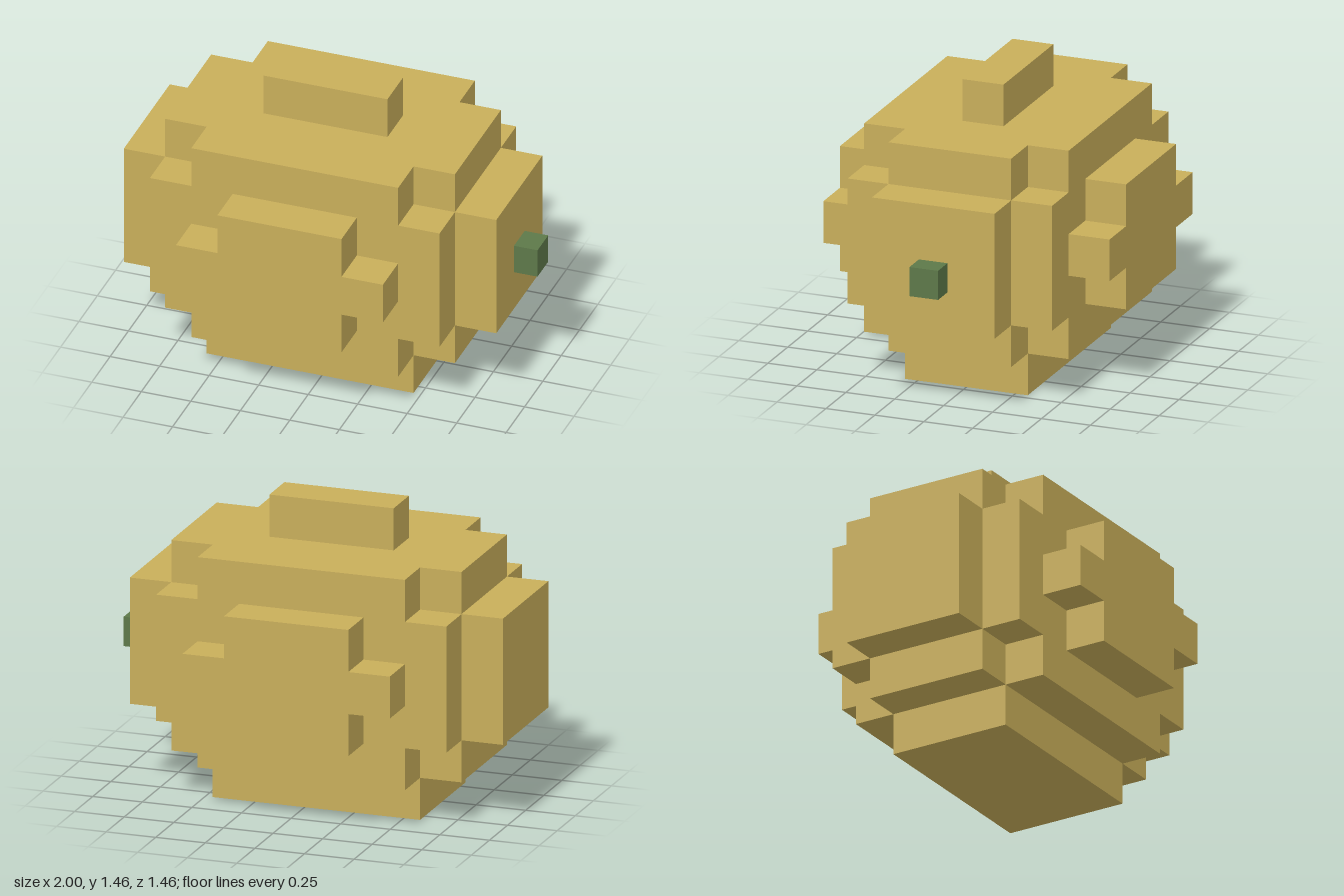
import * as THREE from 'three';

const U = 0.209; // edge of one block
const CX = -1 + 4.5 * U; // body centre in x (the stem takes up the rest)
const CY = 3.5 * U; // body centre in y

// Rectangle with a one-block notch at each corner, extruded one block thick along z
function notchedSlab(w, h) {
  const a = w / 2, b = h / 2;
  const outline = [
    [a - 1, -b], [a - 1, 1 - b], [a, 1 - b], [a, b - 1], [a - 1, b - 1], [a - 1, b],
    [1 - a, b], [1 - a, b - 1], [-a, b - 1], [-a, 1 - b], [1 - a, 1 - b], [1 - a, -b],
  ].map(([x, y]) => new THREE.Vector2(x * U, y * U));
  const geo = new THREE.ExtrudeGeometry(new THREE.Shape(outline), { depth: U, bevelEnabled: false });
  return geo.translate(0, 0, -U / 2);
}

const block = (w, h, d) => new THREE.BoxGeometry(w * U, h * U, d * U);

export function createModel() {
  const model = new THREE.Group();
  const skin = new THREE.MeshStandardMaterial({ color: 0xc8ae5a });
  skin.name = 'tan skin';
  const green = new THREE.MeshStandardMaterial({ color: 0x5d7849 });
  green.name = 'stem green';

  // Position is in blocks from the body centre
  function add(name, geo, x, y, z, material = skin) {
    const mesh = new THREE.Mesh(geo, material);
    mesh.name = name;
    mesh.position.set(CX + x * U, CY + y * U, z * U);
    model.add(mesh);
    return mesh;
  }

  // Core, with stepped layers above and below
  add('bodyCore', block(7, 3, 5), 0, 0, 0);
  add('upperLayer', notchedSlab(7, 5).rotateX(-Math.PI / 2), 0, 2, 0);
  add('lowerLayer', notchedSlab(7, 5).rotateX(-Math.PI / 2), 0, -2, 0);
  add('topRidge', block(3, 1, 1), 0, 3, 0);
  add('base', block(5, 1, 3), 0, -3, 0);

  // Bulges on the four sides
  add('leftEnd', block(1, 3, 3), 4, 0, 0);
  add('rightEnd', block(1, 3, 3), -4, 0, 0);
  add('frontBulge', notchedSlab(5, 3), 0, 0, 3);
  add('backBulge', notchedSlab(5, 3), 0, 0, -3);

  // Small green stem on the left end
  const stem = add('stem', new THREE.BoxGeometry(0.119, 0.146, 0.146), 0, 0, 0, green);
  stem.position.set(0.9405, 0.693, 0);

  return model;
}
